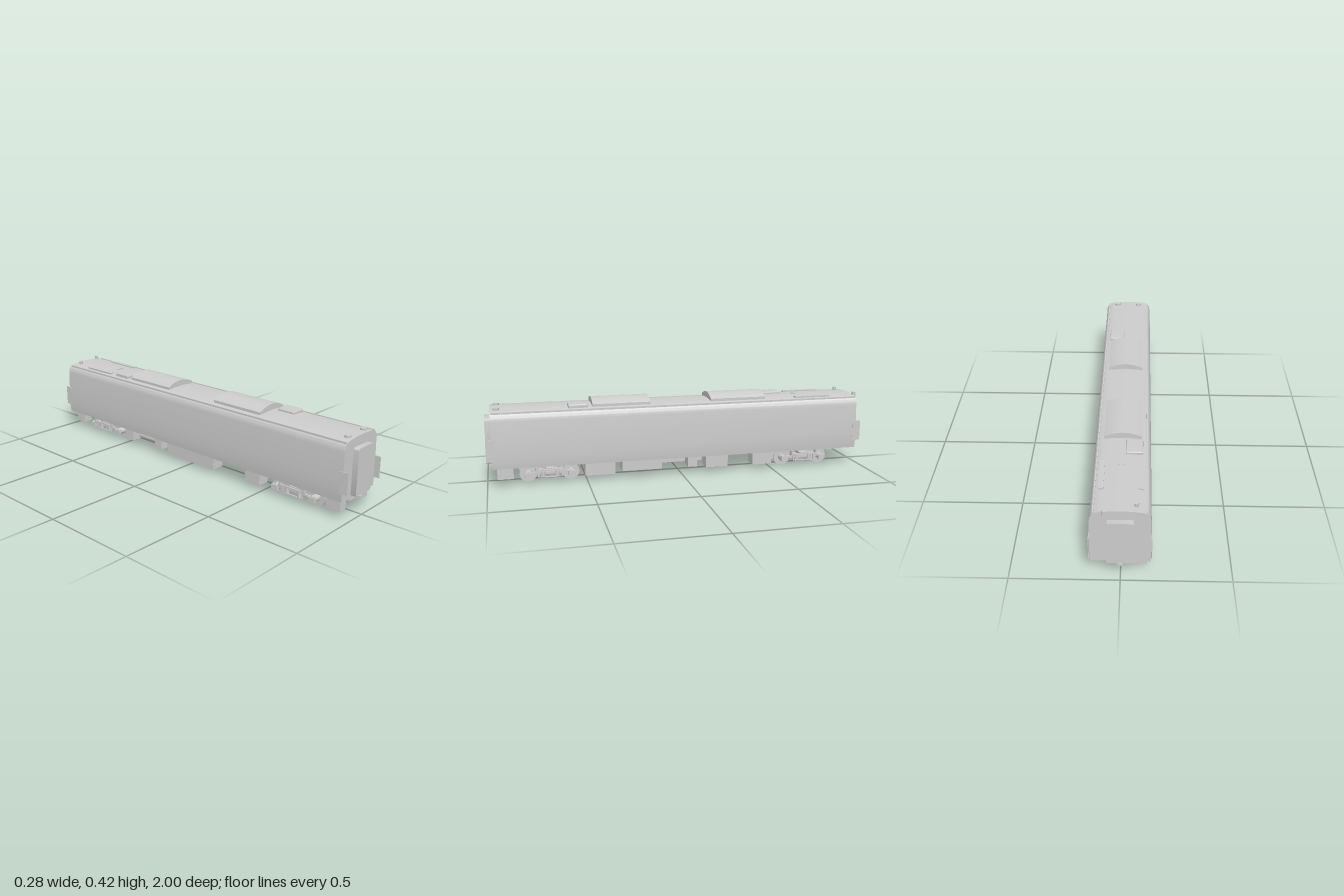
import * as THREE from 'three';
import { toCreasedNormals } from 'three/addons/utils/BufferGeometryUtils.js';
import { RoundedBoxGeometry } from 'three/addons/geometries/RoundedBoxGeometry.js';

const grey = new THREE.MeshStandardMaterial({ color: 0xcccccc });

export function createModel() {
  const model = new THREE.Group();
  model.name = 'railwayCoach';

  const add = (name, geo, x = 0, y = 0, z = 0, parent = model) => {
    const mesh = new THREE.Mesh(geo, grey);
    mesh.name = name;
    mesh.position.set(x, y, z);
    parent.add(mesh);
    return mesh;
  };
  // box given by its limits on each axis
  const box = (name, [x0, x1], [y0, y1], [z0, z1], parent = model) =>
    add(name, new THREE.BoxGeometry(Math.abs(x1 - x0), y1 - y0, Math.abs(z1 - z0)),
      (x0 + x1) / 2, (y0 + y1) / 2, (z0 + z1) / 2, parent);
  // cross-section in x/y, extruded from z0 to z1
  const extrude = (shape, z0, z1, crease = 0.6) => {
    const geo = new THREE.ExtrudeGeometry(shape, { depth: z1 - z0, bevelEnabled: false, curveSegments: 12 });
    geo.translate(0, 0, z0);
    return toCreasedNormals(geo, crease);
  };
  const cylinder = (axis, r, length, sides = 24) => {
    const geo = new THREE.CylinderGeometry(r, r, length, sides);
    if (axis === 'x') geo.rotateZ(Math.PI / 2);
    if (axis === 'z') geo.rotateX(Math.PI / 2);
    return geo;
  };

  // Body shell: gently bowed sides, tight shoulder, shallow roof
  const body = new THREE.Shape();
  body.moveTo(-0.133, 0.095);
  body.lineTo(0.133, 0.095);
  body.lineTo(0.1375, 0.13);
  body.lineTo(0.1375, 0.2);
  body.lineTo(0.132, 0.335);
  body.bezierCurveTo(0.130, 0.358, 0.122, 0.374, 0.1, 0.379);
  body.quadraticCurveTo(0.05, 0.386, 0, 0.386);
  body.quadraticCurveTo(-0.05, 0.386, -0.1, 0.379);
  body.bezierCurveTo(-0.122, 0.374, -0.130, 0.358, -0.132, 0.335);
  body.lineTo(-0.1375, 0.2);
  body.lineTo(-0.1375, 0.13);
  body.closePath();
  add('body', extrude(body, -0.975, 0.972));

  // Roof gutters
  for (const s of [-1, 1]) box('roofGutter', [s * 0.113, s * 0.119], [0.366, 0.378], [-0.97, 0.968]);

  // Arched air-conditioning units
  const arch = new THREE.Shape();
  arch.moveTo(-0.09, 0.375);
  arch.lineTo(0.09, 0.375);
  arch.lineTo(0.09, 0.394);
  arch.quadraticCurveTo(0.045, 0.417, 0, 0.417);
  arch.quadraticCurveTo(-0.045, 0.417, -0.09, 0.394);
  arch.closePath();
  for (const z of [-0.312, 0.312]) add('airConditioner', extrude(arch, z - 0.15, z + 0.15));

  // Small roof equipment
  for (const s of [-1, 1]) {
    add('roofVentBox', new RoundedBoxGeometry(0.08, 0.03, 0.1, 2, 0.006), s * 0.056, 0.383, s * 0.535);
    add('roofVentCap', cylinder('y', 0.016, 0.014), s * 0.064, 0.386, 0.94);
    box('roofRailBase', [s * 0.077, s * 0.1], [0.374, 0.388], [-0.83, -0.63]);
    box('roofTab', [s * 0.012 - 0.004, s * 0.012 + 0.004], [0.38, 0.39], [-0.665, -0.645]);
  }
  add('aerialPost', cylinder('y', 0.01, 0.025, 16), -0.07, 0.388, -0.935);
  box('aerialPost', [0.078, 0.091], [0.365, 0.396], [-0.988, -0.97]);

  // Rounded gangway doorway, beam, coupler and corner fins at each end
  const w = 0.062, y0 = 0.106, y1 = 0.338, r = 0.012;
  const door = new THREE.Shape();
  door.moveTo(-w + r, y0);
  door.lineTo(w - r, y0);
  door.quadraticCurveTo(w, y0, w, y0 + r);
  door.lineTo(w, y1 - r);
  door.quadraticCurveTo(w, y1, w - r, y1);
  door.lineTo(-w + r, y1);
  door.quadraticCurveTo(-w, y1, -w, y1 - r);
  door.lineTo(-w, y0 + r);
  door.quadraticCurveTo(-w, y0, -w + r, y0);
  for (const s of [-1, 1]) {
    const end = new THREE.Group();
    end.name = s > 0 ? 'frontEnd' : 'backEnd';
    model.add(end);
    add('gangway', s > 0 ? extrude(door, 0.965, 1) : extrude(door, -1, -0.965), 0, 0, 0, end);
    box('endBeam', [-0.06, 0.06], [0.076, 0.098], [s * 0.9, s * 0.968], end);
    box('coupler', [-0.012, 0.012], [0.079, 0.092], [s * 0.9, s * 0.99], end);
    for (const side of [-1, 1])
      box('cornerFin', [side * 0.135, side * 0.1385], [0.137, 0.245], [s * 0.955, s], end);
  }

  // Underfloor equipment: x limits, bottom, z limits
  const equipment = [
    [0.062, 0.125, 0.038, 0.87, 0.95],
    [-0.105, -0.06, 0.03, 0.87, 0.95],
    [0.045, 0.118, 0.028, 0.355, 0.51],
    [0.05, 0.12, 0.04, 0.11, 0.32],
    [0.06, 0.12, 0.04, -0.08, -0.03],
    [0.045, 0.118, 0.03, -0.25, -0.13],
    [0.045, 0.118, 0.028, -0.495, -0.39],
    [-0.118, -0.05, 0.028, 0.40, 0.49],
    [-0.118, -0.045, 0.025, -0.15, 0.185],
    [-0.118, -0.06, 0.035, -0.25, -0.2],
    [-0.118, -0.05, 0.03, -0.495, -0.43],
    [-0.118, -0.06, 0.038, -0.935, -0.87],
  ];
  for (const [x0, x1, bottom, z0, z1] of equipment)
    box('underfloorBox', [x0, x1], [bottom, 0.098], [z0, z1]);
  add('airTank', cylinder('z', 0.022, 0.14), 0, 0.066, 0.23);
  add('airTank', cylinder('z', 0.02, 0.15), -0.072, 0.063, -0.33);
  for (const z of [-0.38, -0.28]) box('tankStrap', [-0.077, -0.067], [0.075, 0.098], [z - 0.006, z + 0.006]);

  // Bogies: wheels, waisted side frames and outside springing
  for (const zc of [-0.683, 0.688]) for (const s of [-1, 1]) {
    const bogie = new THREE.Group();
    bogie.name = 'bogieSide';
    bogie.position.z = zc;
    model.add(bogie);
    const bar = (name, a, b, c) => box(name, [s * a[0], s * a[1]], b, c, bogie);
    bar('sideFrame', [0.056, 0.068], [0.036, 0.066], [-0.1, 0.1]);
    bar('bolster', [0.05, 0.112], [0.066, 0.08], [-0.022, 0.022]);
    bar('bolsterPost', [0.06, 0.085], [0.07, 0.098], [-0.018, 0.018]);
    bar('outerBeam', [0.1, 0.11], [0.052, 0.062], [-0.125, 0.125]);
    bar('lowerLink', [0.112, 0.118], [0.033, 0.039], [-0.05, 0.05]);
    bar('damper', [0.115, 0.122], [0.068, 0.076], [-0.07, 0.07]);
    for (const e of [-1, 1]) {
      const z = e * 0.108;
      add('wheel', cylinder('x', 0.044, 0.009, 32), s * 0.058, 0.044, z, bogie);
      add('wheelHub', cylinder('x', 0.018, 0.05, 16), s * 0.083, 0.046, z, bogie);
      bar('axleBox', [0.1, 0.117], [0.034, 0.06], [z - 0.018, z + 0.018]);
      add('spring', cylinder('y', 0.011, 0.03, 16), s * 0.107, 0.05, e * 0.036, bogie);
      bar('hanger', [0.113, 0.12], [0.036, 0.074], [e * 0.058 - 0.004, e * 0.058 + 0.004]);
      bar('damperBracket', [0.105, 0.127], [0.066, 0.097], [e * 0.07 - 0.005, e * 0.07 + 0.005]);
    }
  }
  return model;
}
